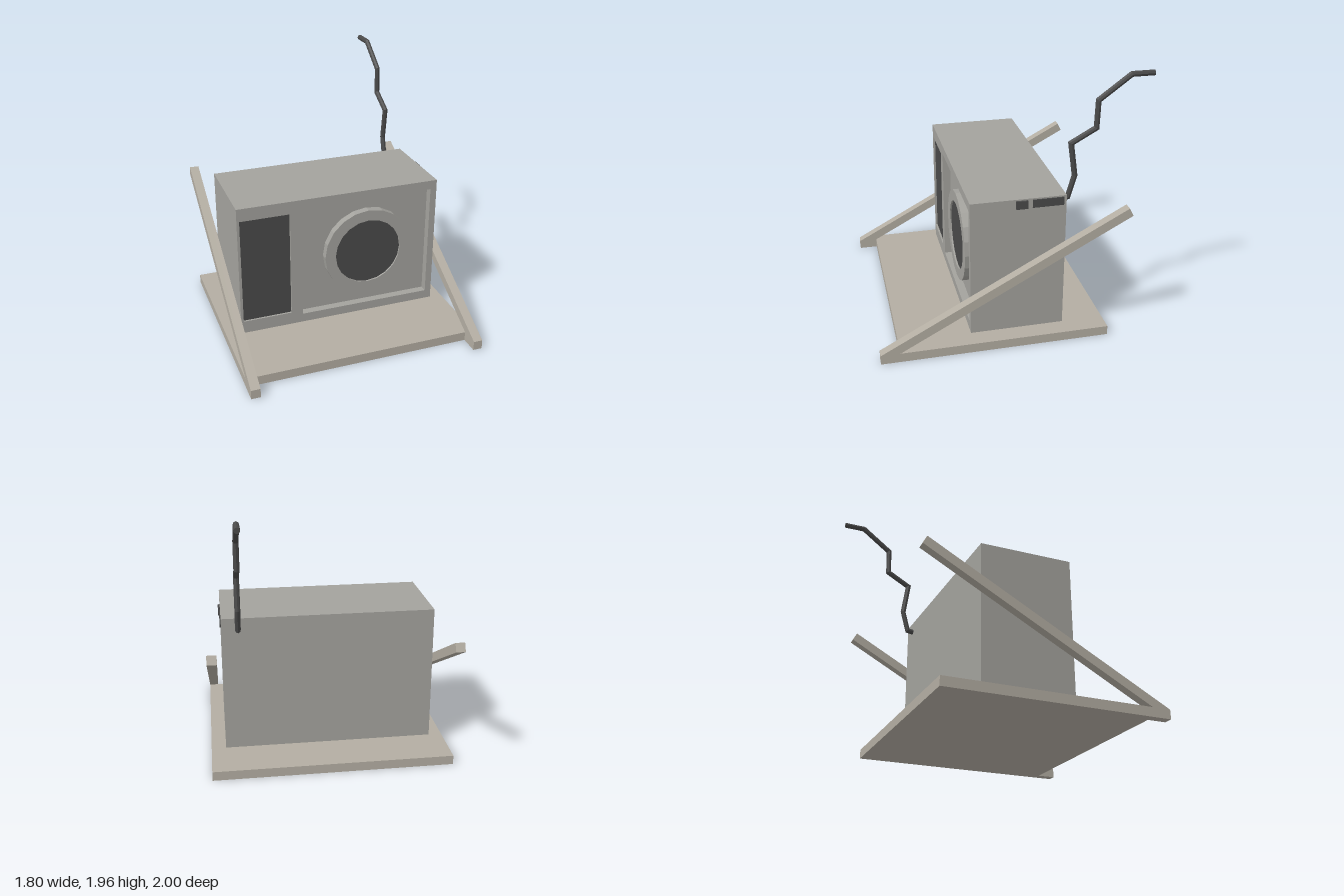
import * as THREE from 'three';

const mat = (color) => new THREE.MeshStandardMaterial({ color, flatShading: true });

export function createModel() {
  const model = new THREE.Group();
  const casing = mat(0xa3a29d), stand = mat(0xb3ada2), dark = mat(0x4a4a4a);

  const add = (name, geometry, material, parent = model) => {
    const mesh = new THREE.Mesh(geometry, material);
    mesh.name = name;
    parent.add(mesh);
    return mesh;
  };
  // box given by its limits on each axis
  const box = (x0, x1, y0, y1, z0, z1) =>
    new THREE.BoxGeometry(x1 - x0, y1 - y0, z1 - z0)
      .translate((x0 + x1) / 2, (y0 + y1) / 2, (z0 + z1) / 2);
  const polygon = (pts, Type = THREE.Shape) => new Type(pts.map(([x, y]) => new THREE.Vector2(x, y)));
  const rect = (x0, x1, y0, y1, Type) => polygon([[x0, y0], [x1, y0], [x1, y1], [x0, y1]], Type);
  const circle = (r, n, Type) => polygon(Array.from({ length: n }, (_, i) => {
    const a = (i / n) * Math.PI * 2;
    return [r * Math.cos(a), r * Math.sin(a)];
  }), Type);
  const extrude = (shape, depth) =>
    new THREE.ExtrudeGeometry(shape, { depth, bevelEnabled: false });

  // stand: base plate and two V-shaped side frames
  const standGroup = new THREE.Group();
  standGroup.name = 'stand';
  model.add(standGroup);
  add('basePlate', box(-0.83, 0.83, 0, 0.07, -0.68, 0.86), stand, standGroup);
  const frame = polygon([[1, 0], [1, 0.07], [-0.79, 1.03], [-0.82, 0.97],
    [0.86, 0.07], [-0.68, 0.07], [-0.68, 0]]);
  for (const [name, x] of [['leftSideFrame', 0.9], ['rightSideFrame', -0.83]]) {
    add(name, extrude(frame, 0.07).rotateY(-Math.PI / 2).translate(x, 0, 0), stand, standGroup);
  }

  // casing with a front frame that leaves two recesses
  add('body', box(-0.79, 0.79, 0.09, 1.13, -0.36, 0.27), casing);
  const face = rect(-0.79, 0.79, 0.09, 1.13);
  face.holes.push(rect(-0.77, -0.39, 0.19, 1.03, THREE.Path), rect(-0.3, 0.74, 0.16, 1.06, THREE.Path));
  add('frontFrame', extrude(face, 0.06).translate(0, 0, 0.27), casing);
  add('grille', box(-0.77, -0.39, 0.19, 1.03, 0.27, 0.315), dark);

  // speaker: ring with a dark disc set inside it
  const speaker = new THREE.Group();
  speaker.name = 'speaker';
  speaker.position.set(0.235, 0.61, 0.27);
  model.add(speaker);
  const ring = circle(0.35, 20);
  ring.holes.push(circle(0.265, 20, THREE.Path));
  add('speakerRing', extrude(ring, 0.058), casing, speaker);
  add('speakerDisc', extrude(circle(0.265, 20), 0.045), dark, speaker);

  // controls on the left side
  add('smallButton', box(0.78, 0.805, 1.06, 1.12, -0.08, 0.005), dark);
  add('longButton', box(0.78, 0.798, 1.06, 1.12, -0.34, -0.115), dark);

  // bent antenna: a cylinder whose rows follow a mitred path of [z, y] points
  const path = [[-0.35, 1.05], [-0.405, 1.058], [-0.45, 1.22], [-0.415, 1.465],
    [-0.595, 1.565], [-0.6, 1.765], [-0.83, 1.935], [-0.995, 1.935]]
    .map(([z, y]) => new THREE.Vector3(0.67, y, z));
  const last = path.length - 1;
  const antenna = new THREE.CylinderGeometry(0.021, 0.021, 1, 8, last);
  const pos = antenna.attributes.position;
  const direction = (i) => path[i + 1].clone().sub(path[i]).normalize();
  for (let v = 0; v < pos.count; v++) {
    const i = Math.round((pos.getY(v) + 0.5) * last);
    const before = direction(Math.max(i - 1, 0)), after = direction(Math.min(i, last - 1));
    const t = before.clone().add(after).normalize();
    const w = pos.getZ(v) / t.dot(after);
    pos.setXYZ(v, path[i].x + pos.getX(v), path[i].y - t.z * w, path[i].z + t.y * w);
  }
  antenna.computeVertexNormals();
  add('antenna', antenna, dark);

  return model;
}
